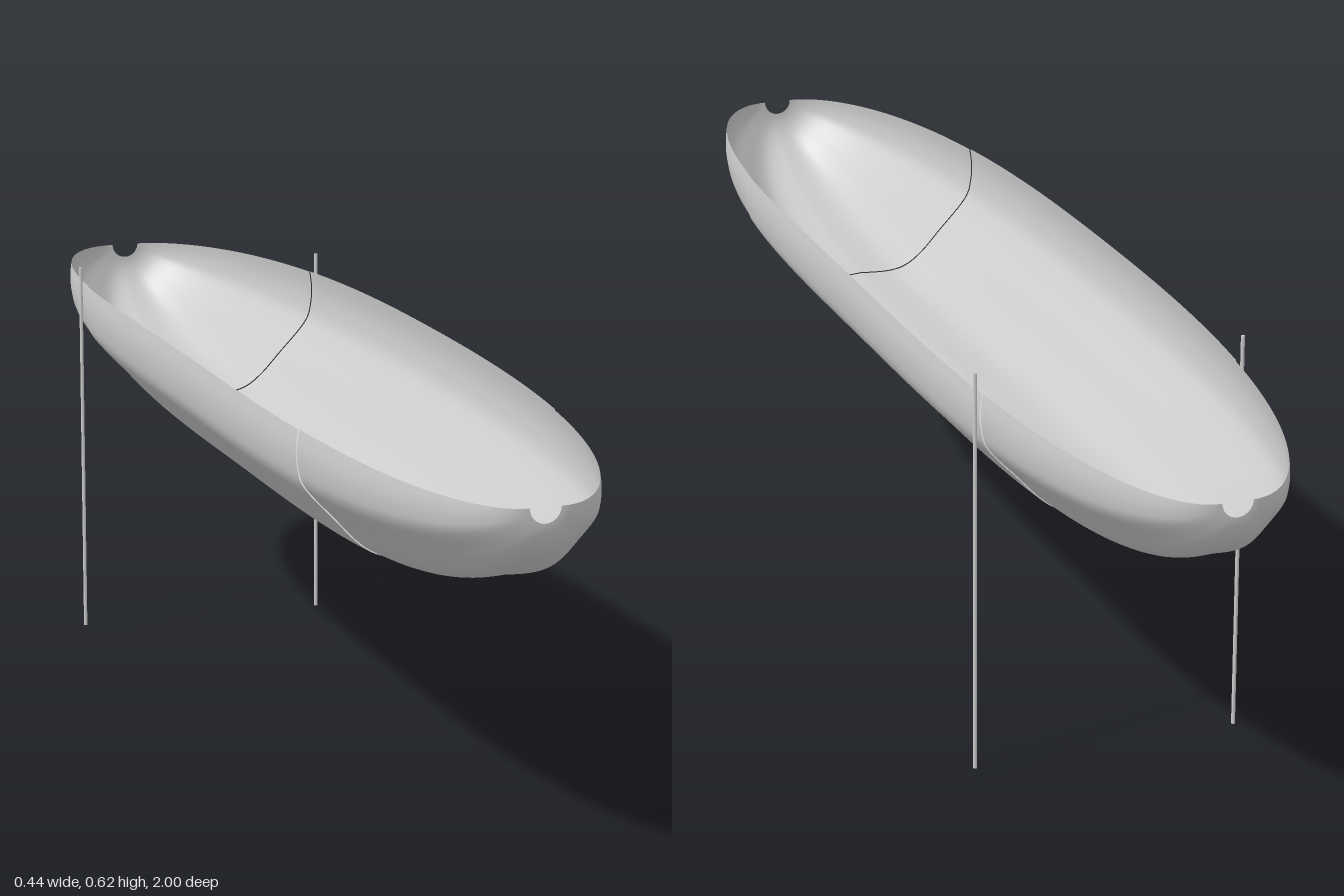
import * as THREE from 'three';

// Half cross-section of the hull, from rim (0) to keel (1), in units of half width and depth
const profile = new THREE.SplineCurve([
  [0.985, 0], [1.005, 0.13], [1, 0.27], [0.95, 0.43], [0.715, 0.68],
  [0.55, 0.86], [0.41, 0.965], [0.25, 1], [0, 0.985],
].map(([x, y]) => new THREE.Vector2(x, y)));

const NOTCH = 0.023; // radius of the round notch left open at each tip
const SEAM = 0.55;   // z of the seams between middle and ends

// Point on the hull: s runs -1..1 across the section, z runs -1..1 along the hull
function hullPoint(s, z, swell) {
  const a = Math.abs(s), side = Math.sign(s);
  const fullness = Math.sqrt(Math.max(0, 1 - Math.abs(z) ** 3));
  const p = profile.getPointAt(1 - a);
  const angle = a * Math.PI / 2;
  const x = NOTCH * Math.sin(angle) + (0.192 + swell) * fullness * p.x;
  const depth = NOTCH * Math.cos(angle) + (0.193 + swell) * fullness * p.y;
  const rim = 0.57 + 0.03 * (1 - z * z);
  return [side * x, rim - depth, z];
}

// Lofted strip of hull between two angles, where z = sin(angle)
function hullPart(name, from, to, rows, swell, material) {
  const cols = 64, positions = [], indices = [];
  for (let i = 0; i <= rows; i++) {
    const z = Math.sin(from + (to - from) * i / rows);
    for (let j = 0; j <= cols; j++) positions.push(...hullPoint(-1 + 2 * j / cols, z, swell));
  }
  for (let i = 0; i < rows; i++) {
    for (let j = 0; j < cols; j++) {
      const a = i * (cols + 1) + j, b = a + cols + 1;
      indices.push(a, a + 1, b, a + 1, b + 1, b);
    }
  }
  const geometry = new THREE.BufferGeometry();
  geometry.setAttribute('position', new THREE.Float32BufferAttribute(positions, 3));
  geometry.setIndex(indices);
  geometry.computeVertexNormals();
  const mesh = new THREE.Mesh(geometry, material);
  mesh.name = name;
  return mesh;
}

export function createModel() {
  const model = new THREE.Group();
  model.name = 'openHullOnPoles';
  const shell = new THREE.MeshStandardMaterial({ color: 0xcccccc, side: THREE.DoubleSide });
  const grey = new THREE.MeshStandardMaterial({ color: 0xcccccc });

  // Open shell: long middle and two tapered ends
  const hull = new THREE.Group();
  hull.name = 'hull';
  const seam = Math.asin(SEAM), tip = Math.PI / 2;
  hull.add(
    hullPart('hullMiddle', -seam, seam, 40, 0.002, shell),
    hullPart('hullFrontEnd', seam, tip, 40, 0, shell),
    hullPart('hullBackEnd', -tip, -seam, 40, 0, shell),
  );
  model.add(hull);

  // Pair of thin upright poles beside the hull
  for (const [name, x, bottom] of [['leftPole', 0.206, 0], ['rightPole', -0.21, 0.003]]) {
    const pole = new THREE.Mesh(new THREE.CylinderGeometry(0.003, 0.003, 0.622, 12), grey);
    pole.name = name;
    pole.position.set(x, bottom + 0.311, -0.545);
    model.add(pole);
  }
  return model;
}
